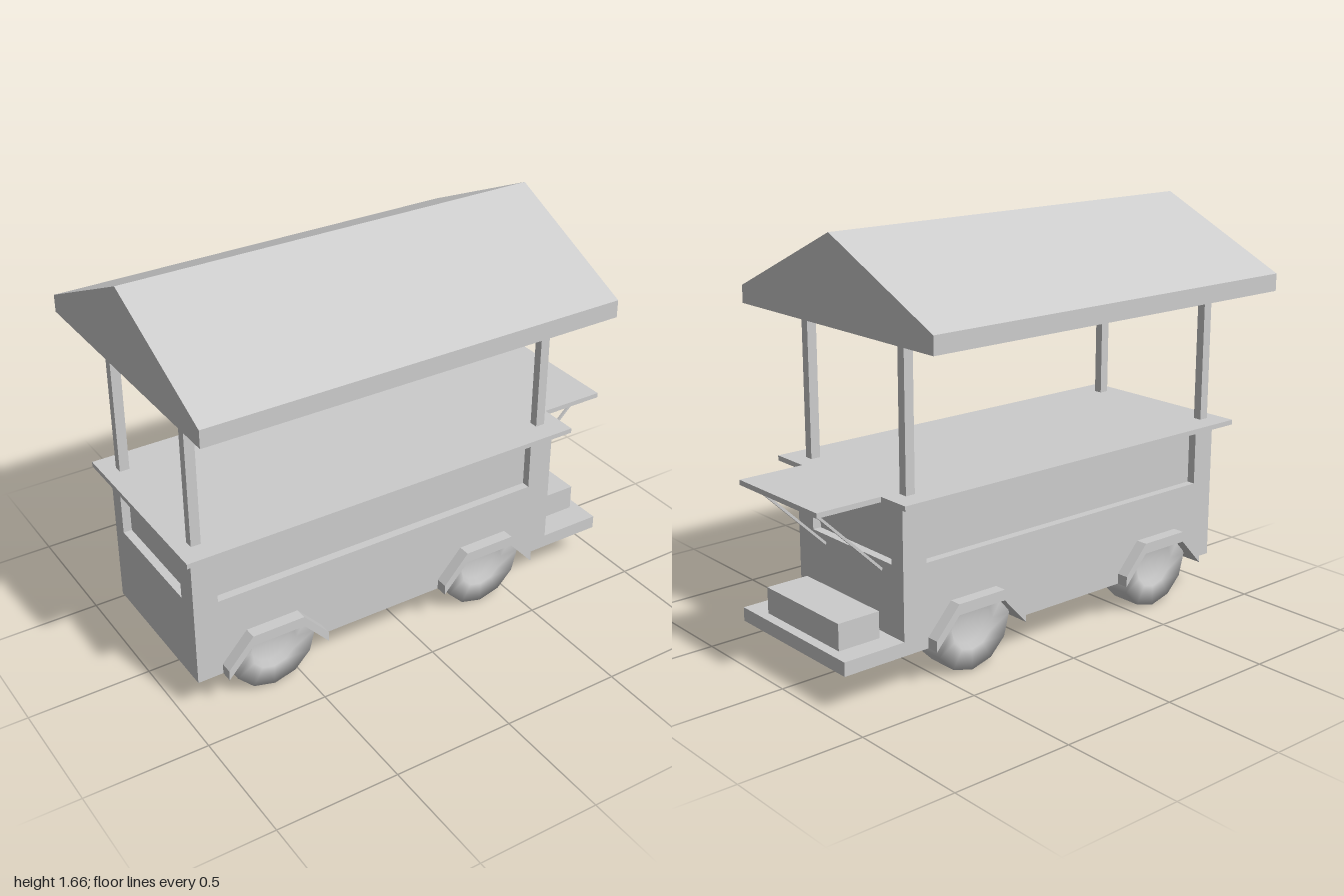
import * as THREE from 'three';

const grey = new THREE.MeshStandardMaterial({ color: 0xcccccc, flatShading: true });
const smoothGrey = new THREE.MeshStandardMaterial({ color: 0xcccccc });

export function createModel() {
  const model = new THREE.Group();

  const add = (name, geometry, material = grey) => {
    const mesh = new THREE.Mesh(geometry, material);
    mesh.name = name;
    model.add(mesh);
    return mesh;
  };

  // Box given by its extents
  const box = (name, x0, x1, y0, y1, z0, z1) =>
    add(name, new THREE.BoxGeometry(x1 - x0, y1 - y0, z1 - z0)
      .translate((x0 + x1) / 2, (y0 + y1) / 2, (z0 + z1) / 2));

  // Outline in x/y pushed along z from z0 to z1
  const slab = (points, z0, z1) => {
    const shape = new THREE.Shape(points.map(([x, y]) => new THREE.Vector2(x, y)));
    return new THREE.ExtrudeGeometry(shape, { depth: z1 - z0, bevelEnabled: false }).translate(0, 0, z0);
  };

  // Outline in z/y pushed along x from x0 to x1
  const crossSlab = (points, x0, x1) =>
    slab(points.map(([z, y]) => [-z, y]), x0, x1).rotateY(Math.PI / 2);

  // Body with wheel arches cut through its full width
  const archCentres = [-0.623, 0.357];
  const arch = [[-0.217, 0.15], [-0.11, 0.267], [0.11, 0.267], [0.217, 0.15]];
  const underside = archCentres.flatMap(c => arch.map(([x, y]) => [c + x, y]));
  const left = 0.685, right = -0.945, side = 0.33, inset = 0.035;
  const bottom = 0.15, sill = 0.485, top = 0.73;
  add('bodyCore', slab([
    [right + inset, bottom], ...underside, [left - inset, bottom],
    [left - inset, top], [right + inset, top],
  ], -side + inset, side - inset));

  // Outer panels leave a recess open under the counter
  const longPanel = [
    [right, bottom], ...underside, [left, bottom], [left, top],
    [0.58, top], [0.58, sill], [-0.845, sill], [-0.845, top], [right, top],
  ];
  add('frontPanel', slab(longPanel, side - inset, side));
  add('backPanel', slab(longPanel, -side, -side + inset));
  const w = side - inset;
  const endPanel = [
    [-w, bottom], [w, bottom], [w, top], [0.235, top],
    [0.235, sill], [-0.26, sill], [-0.26, top], [-w, top],
  ];
  add('leftPanel', crossSlab(endPanel, left - inset, left));
  add('rightPanel', crossSlab(endPanel, right, right + inset));

  // Counter with a fold-out shelf on struts
  box('counter', -0.99, 0.725, 0.73, 0.75, -0.4, 0.4);
  box('sideShelf', 0.725, 1, 0.73, 0.75, -0.26, 0.235);
  for (const z of [0.155, -0.2]) {
    const dx = 0.295, dy = 0.285;
    const strut = add('shelfStrut', new THREE.BoxGeometry(Math.hypot(dx, dy), 0.01, 0.01));
    strut.position.set(0.685 + dx / 2, 0.45 + dy / 2, z);
    strut.rotation.z = Math.atan2(dy, dx);
  }

  // Rear platform and step
  box('platform', left, 0.95, 0.15, 0.205, -side, side);
  box('step', 0.73, 0.91, 0.205, 0.31, -0.24, 0.22);

  // Fenders and wheels
  const fender = [...arch, ...arch.map(([x, y]) => [x, y + 0.043]).reverse()];
  const wheelProfile = [
    [0, -0.065], [0.183, -0.065], [0.183, 0.065], [0.1, 0.065], [0.085, 0.035], [0, 0.035],
  ].map(([r, y]) => new THREE.Vector2(r, y));
  for (const s of [1, -1]) {
    for (const c of archCentres) {
      add('fender', slab(fender, 0, 0.05))
        .position.set(c, 0, s > 0 ? side : -side - 0.05);
      const wheel = add('wheel', new THREE.LatheGeometry(wheelProfile, 12), smoothGrey);
      wheel.rotation.x = s * Math.PI / 2;
      // keep a corner of the tyre on the ground on both sides
      wheel.position.set(c + 0.004, 0.183, s * 0.26);
    }
  }

  // Roof posts
  for (const x of [-0.93, 0.615]) {
    for (const z of [0.295, -0.295]) {
      box('roofPost', x, x + 0.04, 0.75, 1.515, z - 0.018, z + 0.018);
    }
  }

  // Hollow gabled roof: folded sheet closed by two gables
  const eave = 0.585, low = 1.32, mid = 1.39, ridge = 1.66, t = 0.008;
  const gable = [[-eave, low], [eave, low], [eave, mid], [0, ridge], [-eave, mid]];
  add('roofSheet', crossSlab([
    [eave, low], [eave, mid], [0, ridge], [-eave, mid], [-eave, low],
    [-eave + t, low], [-eave + t, mid - t / 2], [0, ridge - t], [eave - t, mid - t / 2], [eave - t, low],
  ], -1 + t, 0.74 - t));
  add('rightGable', crossSlab(gable, -1, -1 + t));
  add('leftGable', crossSlab(gable, 0.74 - t, 0.74));

  return model;
}
